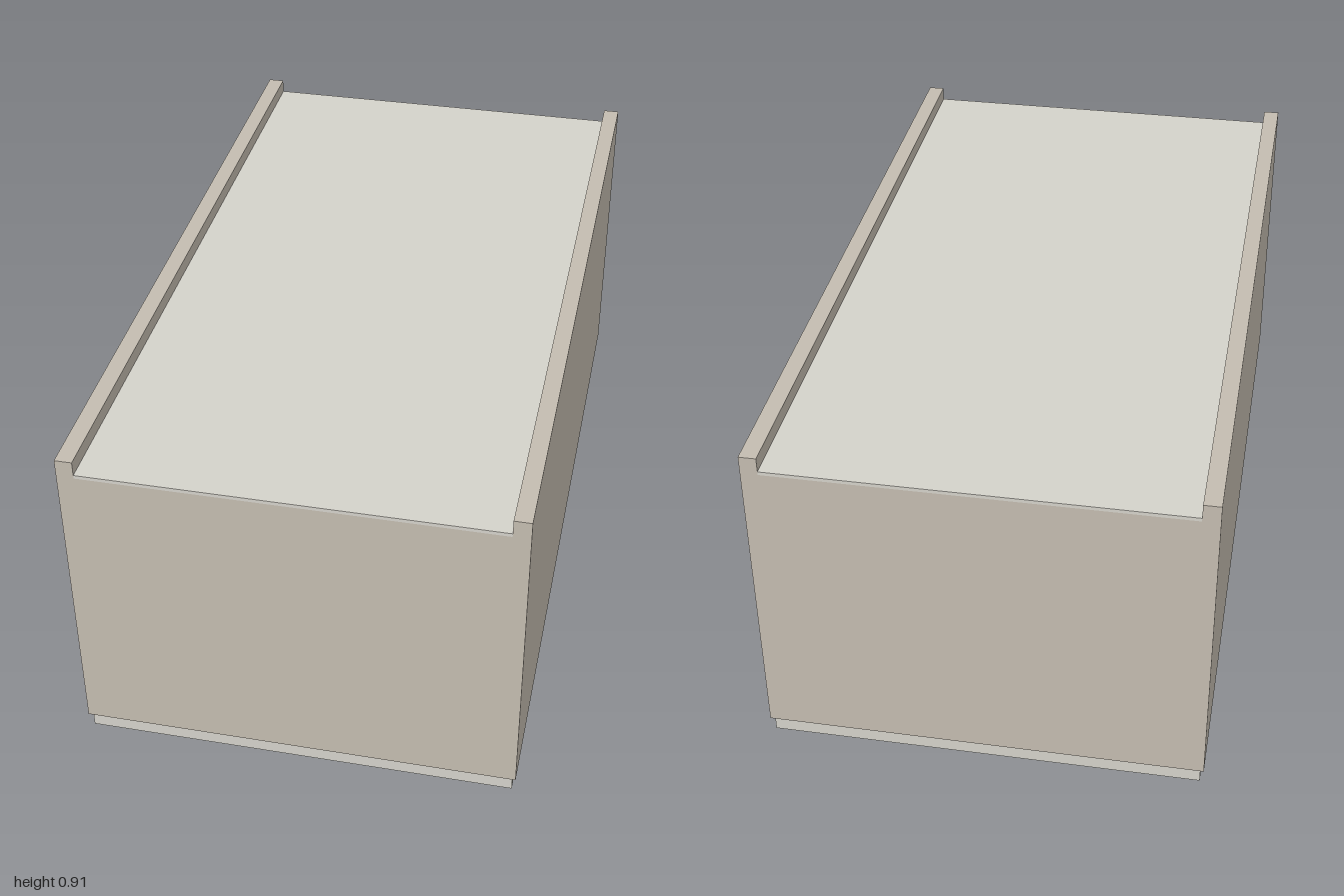
import * as THREE from 'three';

export function createModel() {
  const model = new THREE.Group();
  model.name = 'cabinet';
  const carcass = new THREE.MeshStandardMaterial({ color: 0xc4bcb0 });
  const panel = new THREE.MeshStandardMaterial({ color: 0xd4d2ca });
  const metal = new THREE.MeshStandardMaterial({ color: 0x7e7e84 });

  // Box given by its lower and upper corners
  function slab(name, material, [x0, y0, z0], [x1, y1, z1]) {
    const mesh = new THREE.Mesh(new THREE.BoxGeometry(x1 - x0, y1 - y0, z1 - z0), material);
    mesh.position.set((x0 + x1) / 2, (y0 + y1) / 2, (z0 + z1) / 2);
    mesh.name = name;
    model.add(mesh);
  }

  const W = 0.555, inner = 0.512, T = 0.043;
  const bottom = 0.081, top = 0.914, backTop = 0.877, backLow = 0.868;

  // Long side walls, standing proud of the recessed back panel
  slab('leftWall', carcass, [inner, bottom, -1], [W, top, 1]);
  slab('rightWall', carcass, [-W, bottom, -1], [-inner, top, 1]);

  // End walls between the sides
  slab('frontWall', carcass, [-inner, bottom, 1 - T], [inner, backLow, 1]);
  slab('rearWall', carcass, [-inner, bottom, -1], [inner, backLow, -1 + T]);

  // Thin panel closing the top
  slab('backPanel', panel, [-inner, backLow, -1], [inner, backTop, 1]);

  // Door underneath, slightly smaller than the carcass, with its bar handle
  slab('door', panel, [-0.546, 0.037, -0.99], [0.546, bottom, 0.99]);
  slab('handle', metal, [-0.133, 0, 0.77], [0.133, 0.037, 0.802]);

  return model;
}
